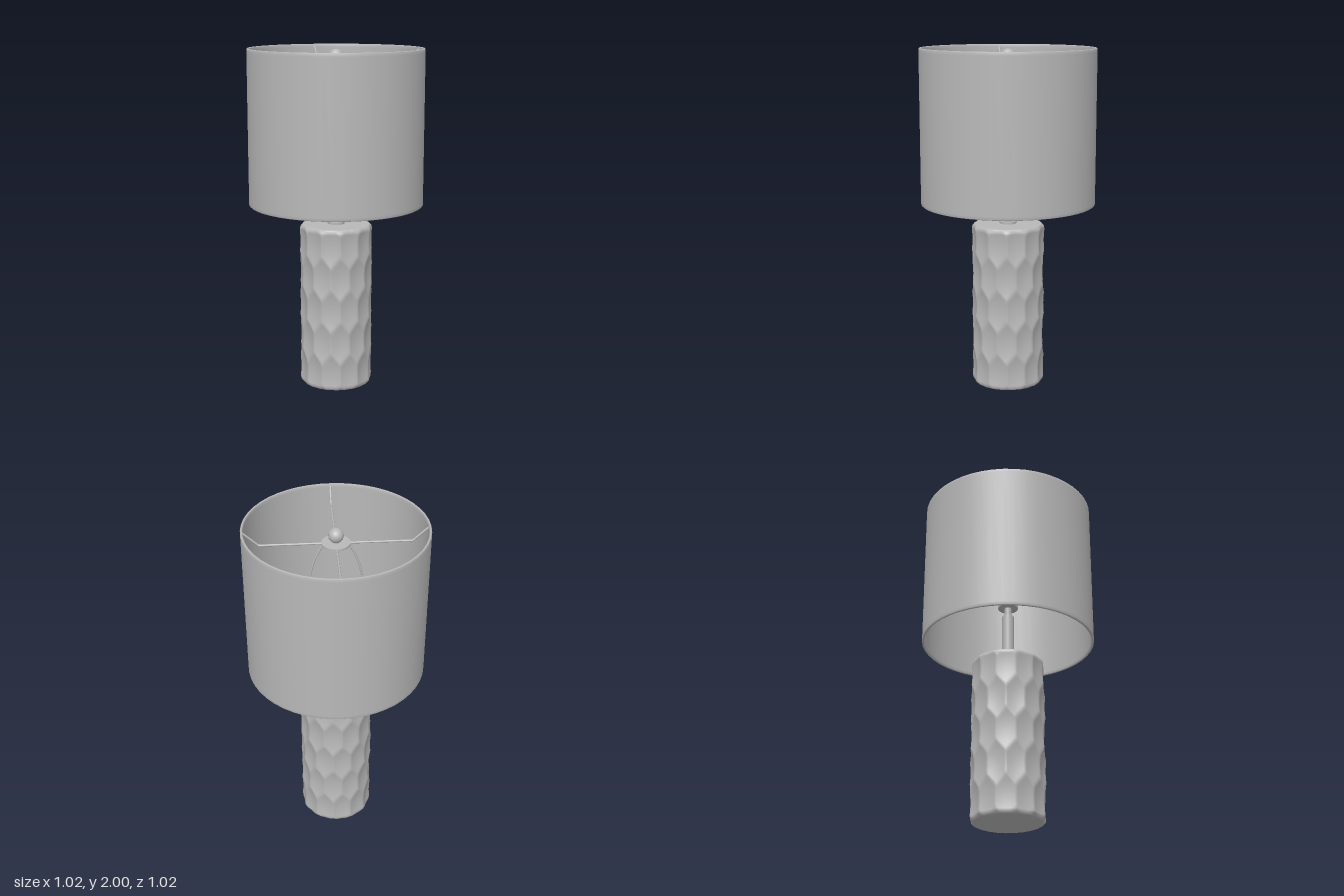
import * as THREE from 'three';
import { mergeVertices } from 'three/addons/utils/BufferGeometryUtils.js';

const V2 = (x, y) => new THREE.Vector2(x, y);
const V3 = (x, y, z) => new THREE.Vector3(x, y, z);

// Depth factor of the honeycomb dimples: 0 at a cell centre, about 1 at its corners
function cellDistance(angle, y) {
  const w = Math.PI / 6, h = 0.195;
  let best = Infinity;
  const row = Math.floor(y / h);
  for (let j = row - 1; j <= row + 1; j++) {
    const shift = Math.abs(j) % 2 ? 0 : 0.5;
    const a = angle / w + shift;
    const u = a - Math.round(a);
    const v = (y / h - j - 0.5) * 0.866;
    best = Math.min(best, u * u + v * v);
  }
  return Math.min(1, best * 3);
}

// Solid column whose side is pressed with staggered hexagonal hollows
function dimpledColumn() {
  const R = 0.216, H = 0.975, bevel = 0.018;
  const pts = [V2(0, 0), V2(0.185, 0), V2(R - bevel, 0)];
  for (let i = 0; i <= 76; i++) {
    const y = 0.003 + (H - 0.006) * i / 76;
    const edge = Math.max(0, 1 - Math.min(y, H - y) / bevel);
    pts.push(V2(R - bevel * 0.8 * edge * edge, y));
  }
  pts.push(V2(R - bevel, H), V2(0.185, H), V2(0, H));
  const geo = new THREE.LatheGeometry(pts, 144);
  const p = geo.attributes.position;
  for (let i = 0; i < p.count; i++) {
    const x = p.getX(i), y = p.getY(i), z = p.getZ(i);
    const k = 1 - 0.078 * (1 - cellDistance(Math.atan2(x, z), y));
    p.setXYZ(i, x * k, y, z * k);
  }
  geo.deleteAttribute('uv');
  geo.deleteAttribute('normal');
  const merged = mergeVertices(geo, 1e-5);
  merged.computeVertexNormals();
  return merged;
}

export function createModel() {
  const model = new THREE.Group();
  model.name = 'tableLamp';
  const grey = new THREE.MeshStandardMaterial({ color: 0xb8b8b8 });
  grey.name = 'plain grey';

  const add = (name, geo, y = 0, parent = model) => {
    const mesh = new THREE.Mesh(geo, grey);
    mesh.name = name;
    mesh.position.y = y;
    parent.add(mesh);
    return mesh;
  };
  const disc = (name, r, y0, y1, seg = 32) =>
    add(name, new THREE.CylinderGeometry(r, r, y1 - y0, seg), (y0 + y1) / 2);

  add('base', dimpledColumn());

  // Stem and the saddle that holds the harp
  disc('collar', 0.05, 0.97, 0.988);
  disc('stem', 0.035, 0.97, 1.28);
  disc('upperStem', 0.022, 1.28, 1.35);
  disc('harpSaddle', 0.06, 1.335, 1.347);

  // Shade: open drum with a thin wall and softened rims
  const ro = 0.511, ri = 0.497, y0 = 1.095, y1 = 2, b = 0.004;
  const wall = [
    V2(ri + b, y0), V2(ro - b, y0), V2(ro, y0 + b), V2(ro, y0 + 0.02),
    V2(ro, y1 - 0.02), V2(ro, y1 - b), V2(ro - b, y1), V2(ri + b, y1),
    V2(ri, y1 - b), V2(ri, y1 - 0.02), V2(ri, y0 + 0.02), V2(ri, y0 + b), V2(ri + b, y0),
  ];
  add('shade', new THREE.LatheGeometry(wall, 48));

  // Hub and finial
  disc('hub', 0.079, 1.9, 1.912);
  disc('finialNeck', 0.02, 1.91, 1.94, 16);
  add('finial', new THREE.SphereGeometry(0.042, 24, 16), 1.953);

  // Four spokes: level from the hub, then bent up to the rim
  const frame = new THREE.Group();
  frame.name = 'spider';
  frame.rotation.y = Math.atan2(0.31, 0.39);
  model.add(frame);
  const spokePath = new THREE.CurvePath();
  spokePath.add(new THREE.LineCurve3(V3(0.065, 1.906, 0), V3(0.415, 1.906, 0)));
  spokePath.add(new THREE.LineCurve3(V3(0.415, 1.906, 0), V3(0.5, 1.985, 0)));
  const spokeGeo = new THREE.TubeGeometry(spokePath, 24, 0.006, 8);
  for (let i = 0; i < 4; i++) {
    add('spoke', spokeGeo, 0, frame).rotation.y = i * Math.PI / 2;
  }

  // Harp: a pair of bowed wires from the saddle up to the hub
  const harpPath = new THREE.CatmullRomCurve3([
    V3(0.05, 1.341, 0), V3(0.11, 1.42, 0), V3(0.15, 1.6, 0), V3(0.125, 1.78, 0), V3(0.07, 1.903, 0),
  ]);
  const harpGeo = new THREE.TubeGeometry(harpPath, 32, 0.006, 8);
  for (let i = 0; i < 2; i++) {
    add('harpWire', harpGeo, 0, frame).rotation.y = i * Math.PI;
  }
  return model;
}
